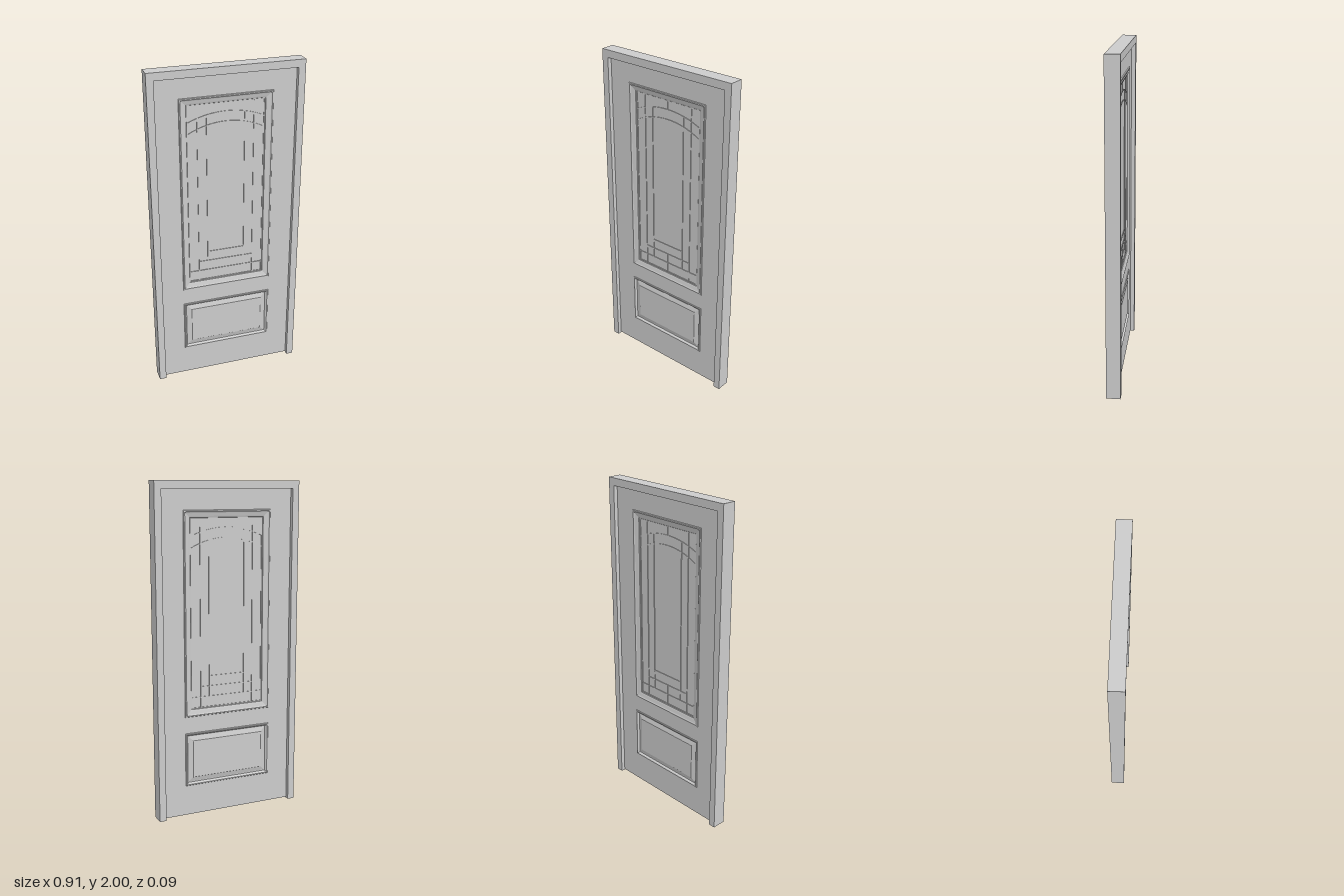
import * as THREE from 'three';

const SLAB = 0.017;                                             // half thickness of the door leaf
const WINDOW = { w: 0.277, h: 0.6075, y: 1.2275 };              // half sizes and centre height
const PANEL = { w: 0.277, h: 0.165, y: 0.355 };

export function createModel() {
  const model = new THREE.Group();
  const material = new THREE.MeshStandardMaterial({ color: 0xcccccc });

  const add = (name, geometry, parent = model) => {
    const mesh = new THREE.Mesh(geometry, material);
    mesh.name = name;
    parent.add(mesh);
    return mesh;
  };

  const extrude = (shape, depth) => {
    const g = new THREE.ExtrudeGeometry(shape, { depth, bevelEnabled: false, curveSegments: 24 });
    return g.translate(0, 0, -depth / 2);
  };

  const polygon = (points) => new THREE.Shape(points.map(([x, y]) => new THREE.Vector2(x, y)));
  const corners = (w, h, y) => [[-w, y - h], [w, y - h], [w, y + h], [-w, y + h]];

  // Rectangular loops [inset, z] joined with mitred corners, optionally capped inside
  const loopedPanel = ({ w, h, y }, profile, side, cap) => {
    const pos = [];
    const quad = (a, b, c, d) => {
      const order = side > 0 ? [a, b, c, a, c, d] : [a, c, b, a, d, c];
      order.forEach((p) => pos.push(...p));
    };
    const loops = profile.map(([inset, z]) =>
      corners(w - inset, h - inset, y).map(([px, py]) => [px, py, z * side]));
    for (let i = 0; i < loops.length - 1; i++) {
      for (let k = 0; k < 4; k++) {
        const n = (k + 1) % 4;
        quad(loops[i][k], loops[i][n], loops[i + 1][n], loops[i + 1][k]);
      }
    }
    if (cap) quad(...loops[loops.length - 1]);
    const g = new THREE.BufferGeometry();
    g.setAttribute('position', new THREE.Float32BufferAttribute(pos, 3));
    g.computeVertexNormals();
    return g;
  };

  // Outer frame: two jambs and the head
  add('doorFrame', extrude(polygon([
    [-0.455, 0], [-0.413, 0], [-0.413, 1.955], [0.413, 1.955],
    [0.413, 0], [0.455, 0], [0.455, 2], [-0.455, 2],
  ]), 0.085));

  // Door leaf with openings for the window and the lower panel
  const leaf = polygon(corners(0.413, 0.975, 0.98));
  for (const o of [WINDOW, PANEL]) leaf.holes.push(polygon(corners(o.w, o.h, o.y)));
  add('doorLeaf', extrude(leaf, SLAB * 2));

  // Window moulding and raised lower panel on both faces
  const moulding = [[0, SLAB], [0.003, 0.022], [0.009, 0.023], [0.015, 0.019],
    [0.018, 0.018], [0.034, 0.014], [0.043, 0.011], [0.047, 0.004]];
  const raised = [[0, SLAB], [0.003, 0.021], [0.008, 0.022], [0.014, 0.017],
    [0.018, 0.009], [0.023, 0.009], [0.048, 0.016], [0.05, 0.018]];
  for (const side of [1, -1]) {
    const face = side > 0 ? 'front' : 'back';
    add(face + 'WindowMoulding', loopedPanel(WINDOW, moulding, side, false));
    add(face + 'LowerPanel', loopedPanel(PANEL, raised, side, true));
  }

  // Glass pane
  add('glass', new THREE.BoxGeometry(0.462, 1.125, 0.008)).position.y = 1.2275;

  // Leaded strips over the glass
  const strips = new THREE.Group();
  strips.name = 'leadedStrips';
  model.add(strips);
  const T = 0.006, D = 0.016;
  const vertical = (x, y0, y1) =>
    add('verticalStrip', new THREE.BoxGeometry(T, y1 - y0, D), strips).position.set(x, (y0 + y1) / 2, 0);
  const horizontal = (y, half) =>
    add('horizontalStrip', new THREE.BoxGeometry(half * 2, T, D), strips).position.set(0, y, 0);
  const arch = (top, end) => {
    const half = 0.23, rise = top - end;
    const r = (half * half + rise * rise) / (2 * rise);
    const a = Math.asin(half / r);
    const shape = new THREE.Shape();
    shape.absarc(0, top - r, r + T / 2, Math.PI / 2 - a, Math.PI / 2 + a, false);
    shape.absarc(0, top - r, r - T / 2, Math.PI / 2 + a, Math.PI / 2 - a, true);
    add('archStrip', extrude(shape, D), strips);
  };

  for (const s of [-1, 1]) {
    vertical(s * 0.228, 0.665, 1.79);
    vertical(s * 0.168, 0.665, 1.79);
    vertical(s * 0.113, 0.732, 1.722);
  }
  vertical(0, 1.734, 1.79);
  vertical(0, 0.665, 0.795);
  for (const [y, half] of [[1.787, 0.23], [0.668, 0.23], [0.732, 0.23], [0.795, 0.168], [0.857, 0.113]]) {
    horizontal(y, half);
  }
  arch(1.734, 1.683);
  arch(1.675, 1.615);

  return model;
}
